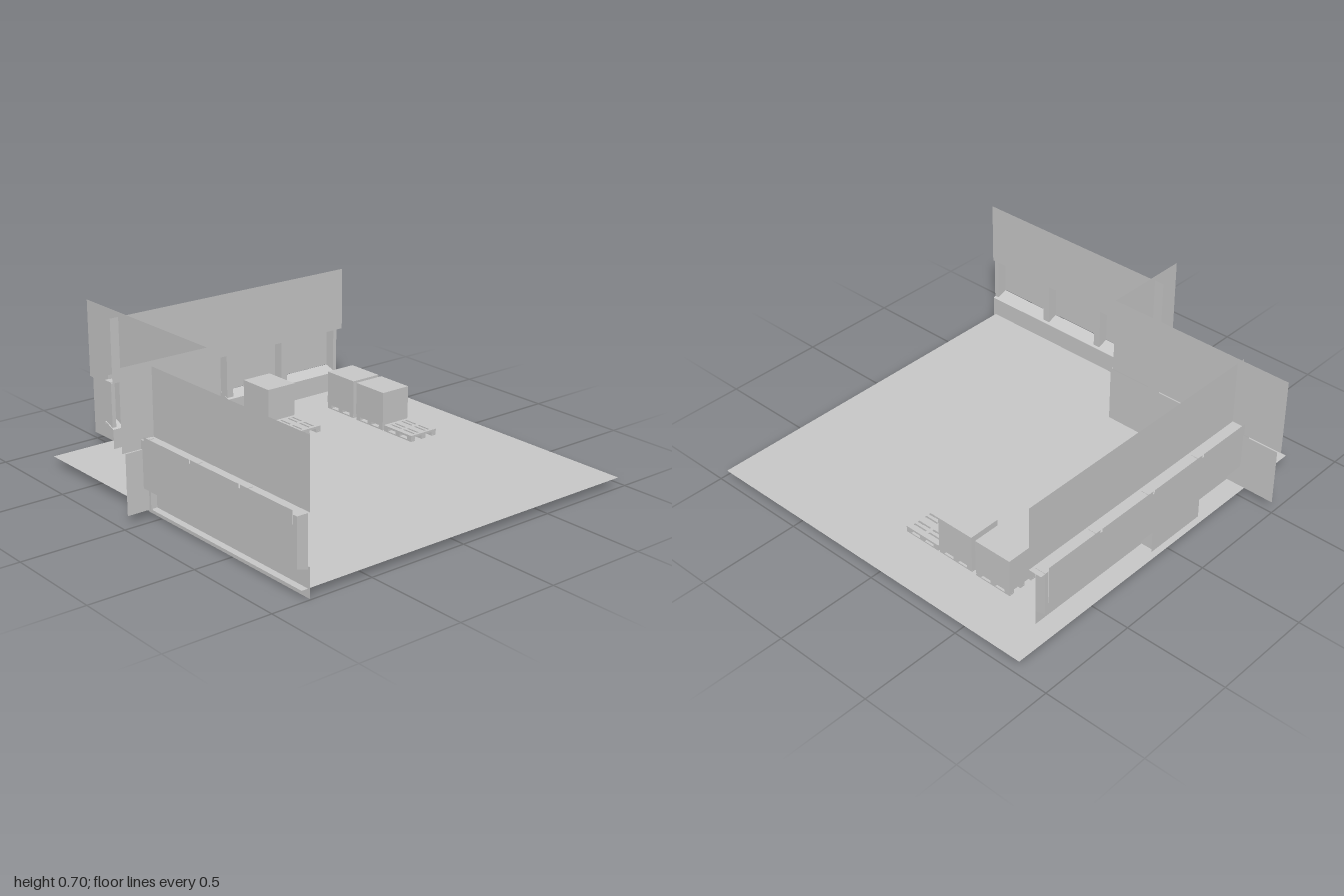
import * as THREE from 'three';

const wallGrey = new THREE.MeshStandardMaterial({ color: 0xc8c8c8, side: THREE.DoubleSide });
wallGrey.name = 'plain grey';

function add(parent, name, geometry, x = 0, y = 0, z = 0) {
  const mesh = new THREE.Mesh(geometry, wallGrey);
  mesh.name = name;
  mesh.position.set(x, y, z);
  parent.add(mesh);
  return mesh;
}

// Open folded sheet: a profile of [x, y] points swept from z0 to z1
function sweep(profile, z0, z1) {
  const pos = [];
  for (let i = 0; i < profile.length - 1; i++) {
    const [ax, ay] = profile[i], [bx, by] = profile[i + 1];
    pos.push(ax, ay, z0, bx, by, z0, bx, by, z1, ax, ay, z0, bx, by, z1, ax, ay, z1);
  }
  const g = new THREE.BufferGeometry();
  g.setAttribute('position', new THREE.Float32BufferAttribute(pos, 3));
  g.computeVertexNormals();
  return g;
}

const outline = (points) => new THREE.Shape(points.map(([x, y]) => new THREE.Vector2(x, y)));

// Wall with a window band; local x = 0 is outside, it runs along local z
function windowWall(name, { upper, low, caps, posts, panes }) {
  const wall = new THREE.Group();
  wall.name = name;
  // Upper wall on the inner side, with a ledge reaching out over the windows
  add(wall, 'upperWall', sweep([[0.065, 0.672], [0.065, 0.36], [0, 0.36]], ...upper));
  // Low wall on the inner side, with a sloping sill that ends in a lip
  for (const [z0, z1] of low) {
    add(wall, 'lowWallAndSill', sweep([[0, 0.145], [0, 0.16], [0.065, 0.135], [0.065, 0]], z0, z1));
  }
  const jamb = outline([[0, 0.015], [0, 0.16], [0.065, 0.135], [0.065, 0]]);
  for (const z of caps) add(wall, 'doorJamb', new THREE.ShapeGeometry(jamb), 0, 0, z);

  // Posts with a bottom cut to the slope of the sill
  const post = outline([[0, 0.145], [0.052, 0.13], [0.052, 0.362], [0, 0.362]]);
  for (const [z, width] of posts) {
    add(wall, 'windowPost', new THREE.ExtrudeGeometry(post, { depth: width, bevelEnabled: false }), 0, 0, z - width / 2);
  }
  // Window and door panels on the outer side
  for (const [z0, z1, y0, y1] of panes) {
    add(wall, 'windowPanel', sweep([[-0.002, y0], [-0.002, y1]], z0, z1));
  }
  return wall;
}

// Upright sheet across x
function sheetAcrossX(parent, name, x0, x1, y0, y1, z) {
  add(parent, name, new THREE.PlaneGeometry(x1 - x0, y1 - y0), (x0 + x1) / 2, (y0 + y1) / 2, z);
}

// Pallet with slotted deck, blocks and runners
function pallet(x, z) {
  const g = new THREE.Group();
  g.name = 'pallet';
  const w = 0.193, d = 0.158;
  const deck = outline([[-w / 2, -d / 2], [w / 2, -d / 2], [w / 2, d / 2], [-w / 2, d / 2]]);
  for (const sx of [-0.045, 0.045]) {
    for (const sz of [-0.047, -0.022, 0.022, 0.047]) {
      const hole = new THREE.Path();
      hole.moveTo(sx - 0.036, sz - 0.005);
      hole.lineTo(sx - 0.036, sz + 0.005);
      hole.lineTo(sx + 0.036, sz + 0.005);
      hole.lineTo(sx + 0.036, sz - 0.005);
      deck.holes.push(hole);
    }
  }
  const deckGeo = new THREE.ExtrudeGeometry(deck, { depth: 0.01, bevelEnabled: false });
  deckGeo.rotateX(-Math.PI / 2);
  add(g, 'palletDeck', deckGeo, 0, 0.02, 0);
  for (const rz of [-0.066, 0, 0.066]) {
    add(g, 'palletRunner', new THREE.BoxGeometry(w, 0.006, 0.026), 0, 0.003, rz);
    for (const bx of [-0.082, 0, 0.082]) {
      add(g, 'palletBlock', new THREE.BoxGeometry(0.028, 0.014, 0.026), bx, 0.013, rz);
    }
  }
  g.position.set(x, 0.04, z);
  return g;
}

export function createModel() {
  const model = new THREE.Group();
  model.name = 'warehouseCorner';

  // Floor
  add(model, 'floor', new THREE.PlaneGeometry(1.815, 1.815), 0.075, 0.04, -0.066).rotation.x = -Math.PI / 2;

  // Side wall with a door between the windows
  const side = windowWall('sideWall', {
    upper: [-0.81, 0.57],
    low: [[-0.77, -0.09], [0.2, 0.575]],
    caps: [-0.09, 0.2],
    posts: [[-0.775, 0.02], [-0.447, 0.036], [-0.11, 0.036], [0.225, 0.036], [0.56, 0.02]],
    panes: [[-0.765, -0.452, 0.16, 0.38], [-0.442, -0.115, 0.16, 0.38],
      [-0.105, 0.22, 0.04, 0.38], [0.23, 0.55, 0.16, 0.38]],
  });
  side.position.x = -0.8;
  model.add(side);

  // Front wall with three windows
  const front = windowWall('frontWall', {
    upper: [-0.095, 0.995],
    low: [[-0.105, 0.995]],
    caps: [],
    posts: [[-0.035, 0.024], [0.308, 0.036], [0.642, 0.036], [0.985, 0.024]],
    panes: [[-0.022, 0.304, 0.16, 0.38], [0.311, 0.638, 0.16, 0.38], [0.646, 0.974, 0.16, 0.38]],
  });
  front.rotation.y = Math.PI / 2;
  front.position.z = 0.875;
  model.add(front);

  // Small closing plate at the end of the front wall
  add(model, 'endPlate', new THREE.BoxGeometry(0.08, 0.175, 0.008), -0.063, 0.1275, 0.845);

  // Plain corner walls, each in a lower and an upper sheet
  sheetAcrossX(model, 'cornerWallLower', -0.985, -0.036, 0.04, 0.32, 0.518);
  sheetAcrossX(model, 'cornerWallUpper', -1, -0.045, 0.32, 0.696, 0.525);
  add(model, 'crossWallLower', sweep([[-0.036, 0.04], [-0.036, 0.32]], 0.518, 0.96));
  add(model, 'crossWallUpper', sweep([[-0.036, 0.32], [-0.045, 0.32], [-0.045, 0.696]], 0.525, 0.97));

  // Pallets, some carrying a crate
  const loads = [[-0.447, -0.64, true], [-0.227, -0.637, true], [-0.025, -0.637, false],
    [-0.607, -0.24, true], [-0.406, -0.24, false]];
  for (const [x, z, loaded] of loads) {
    model.add(pallet(x, z));
    if (loaded) add(model, 'crate', new THREE.BoxGeometry(0.195, 0.16, 0.16), x, 0.15, z);
  }
  return model;
}
